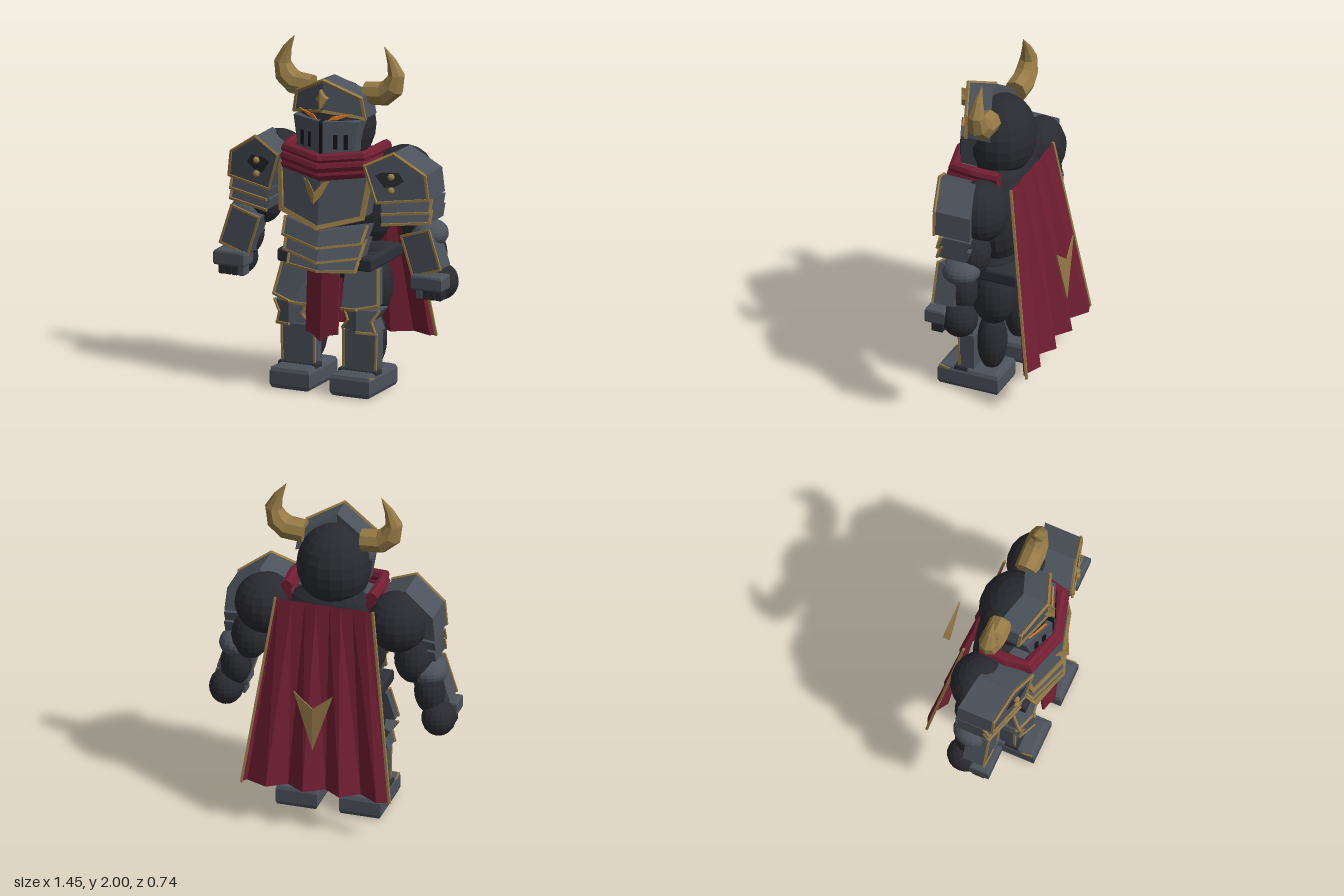
import * as THREE from 'three';

const mat = (name, color, side = THREE.FrontSide) => {
  const m = new THREE.MeshStandardMaterial({ color, side });
  m.name = name;
  return m;
};

export function createModel() {
  const steel = mat('steel', 0x4c525b), dark = mat('dark body', 0x2a2b31), leather = mat('belt leather', 0x2e3037);
  const gold = mat('antique gold', 0x967a46), cloth = mat('crimson cloth', 0x721f33, THREE.DoubleSide);
  const orange = mat('glowing orange', 0xe07a1c), black = mat('black slots', 0x14151a);
  const model = new THREE.Group();
  model.name = 'hornedKnight';

  // Faceted mesh from any geometry
  const add = (name, geo, material, pos = [0, 0, 0]) => {
    const g = geo.index ? geo.toNonIndexed() : geo;
    g.computeVertexNormals();
    const m = new THREE.Mesh(g, material);
    m.name = name;
    m.position.set(...pos);
    model.add(m);
    return m;
  };
  const blob = (name, pos, r, material = dark) =>
    add(name, new THREE.SphereGeometry(1, 18, 12).scale(...r), material, pos);
  const both = (fn) => [1, -1].forEach(fn);

  // Block with bevelled edges
  const block = (name, pos, [w, h, d], bevel, material) => {
    const s = new THREE.Shape(), x = w / 2 - bevel, z = d / 2 - bevel;
    s.moveTo(-x, -z).lineTo(x, -z).lineTo(x, z).lineTo(-x, z);
    const g = new THREE.ExtrudeGeometry(s, { depth: h - 2 * bevel, bevelSize: bevel, bevelThickness: bevel, bevelSegments: 2 });
    g.translate(0, 0, -h / 2 + bevel).rotateX(-Math.PI / 2);
    return add(name, g, material, pos);
  };

  // Square bar between two points
  const bar = (name, a, b, w, material = gold) => {
    const dir = b.clone().sub(a);
    const m = add(name, new THREE.BoxGeometry(w, w, dir.length() + w * 0.6), material, a.clone().add(b).multiplyScalar(0.5).toArray());
    m.quaternion.setFromUnitVectors(new THREE.Vector3(0, 0, 1), dir.normalize());
  };

  // Plate whose outline lies in x,y and whose front is bent by zf(|x|, y); listed edges get a trim
  const plate = (name, s, pts, zf, depth, material, trim = [], w = 0.014) => {
    const shape = new THREE.Shape(pts.map(([x, y]) => new THREE.Vector2(x * s, y)));
    const g = new THREE.ExtrudeGeometry(shape, { depth, bevelEnabled: false });
    const p = g.attributes.position;
    for (let i = 0; i < p.count; i++) p.setZ(i, p.getZ(i) - depth + zf(Math.abs(p.getX(i)), p.getY(i)));
    add(name, g, material);
    const at = (i) => {
      const [x, y] = pts[i % pts.length];
      return new THREE.Vector3(x * s, y, zf(x, y));
    };
    trim.forEach((i) => bar(name + 'Trim', at(i), at(i + 1), w));
  };

  // Tapered tube of rings along a path
  const loft = (name, path, radii, ref, sides, material) => {
    const pts = path.map((p) => new THREE.Vector3(...p)), up = new THREE.Vector3(...ref), pos = [], idx = [];
    pts.forEach((p, i) => {
      const t = pts[Math.min(i + 1, pts.length - 1)].clone().sub(pts[Math.max(i - 1, 0)]).normalize();
      const u = up.clone().cross(t).normalize(), v = t.clone().cross(u);
      for (let k = 0; k < sides; k++) {
        const a = (k / sides) * Math.PI * 2;
        pos.push(...p.clone().addScaledVector(u, Math.cos(a) * radii[i]).addScaledVector(v, Math.sin(a) * radii[i]).toArray());
        if (!i) continue;
        const c = i * sides + k, d = i * sides + (k + 1) % sides;
        idx.push(c - sides, d - sides, d, c - sides, d, c);
      }
    });
    for (let k = 1; k < sides - 1; k++) {
      const e = (pts.length - 1) * sides;
      idx.push(0, k + 1, k, e, e + k, e + k + 1);
    }
    const g = new THREE.BufferGeometry();
    g.setAttribute('position', new THREE.Float32BufferAttribute(pos, 3));
    g.setIndex(idx);
    add(name, g, material);
  };

  // Soft body under the armour
  blob('head', [0, 1.53, 0.04], [0.215, 0.245, 0.205]);
  blob('torso', [0, 1.1, -0.005], [0.33, 0.35, 0.162]);
  blob('hips', [0, 0.78, 0.01], [0.27, 0.16, 0.14]);
  block('belt', [0, 0.77, 0.025], [0.58, 0.08, 0.41], 0.015, leather);

  // Bent surface functions for the front armour
  const browZ = (x) => 0.24 - 0.38 * x;
  const maskZ = (x) => 0.28 - 0.4 * x;
  const chestZ = (x, y) => 0.31 - 0.22 * x - 0.16 * (y - 1.05);
  const shoulderZ = (x) => 0.25 - 0.27 * (x - 0.33);

  both((s) => {
    // Helmet: brow, face guard, breathing slots, eyes
    plate('helmetBrow', s, [[0, 1.64], [0, 1.82], [0.2, 1.72], [0.22, 1.6], [0.18, 1.61]], browZ, 0.15, steel, [1, 2, 3, 4], 0.016);
    plate('eyeShadow', s, [[0, 1.56], [0, 1.65], [0.19, 1.63], [0.19, 1.56]], (x) => 0.215 - 0.35 * x, 0.1, dark);
    plate('faceGuard', s, [[0.014, 1.37], [0.17, 1.395], [0.205, 1.59], [0.014, 1.59]], maskZ, 0.1, steel);
    plate('faceGuardSeam', s, [[0, 1.37], [0.016, 1.37], [0.016, 1.59], [0, 1.57]], (x) => 0.27, 0.07, black);
    [0.08, 0.135].forEach((x) =>
      plate('breathingSlot', s, [[x - 0.011, 1.43], [x + 0.011, 1.43], [x + 0.011, 1.515], [x - 0.011, 1.515]], (a) => maskZ(a) + 0.006, 0.009, black));
    plate('eye', s, [[0.035, 1.595], [0.09, 1.6], [0.17, 1.635], [0.1, 1.622], [0.06, 1.617]], (x) => 0.268 - 0.38 * x, 0.009, orange);
    plate('browJewel', s, [[0, 1.66], [0.016, 1.69], [0.034, 1.72], [0.014, 1.74], [0, 1.775]], (x) => 0.285 - 0.6 * x, 0.03, gold);
    loft('horn', [[0.17, 1.715, 0.03], [0.28, 1.725, 0.03], [0.335, 1.77, 0.03], [0.355, 1.84, 0.03], [0.325, 1.92, 0.03], [0.28, 2, 0.03]]
      .map(([x, y, z]) => [x * s, y, z]), [0.068, 0.07, 0.066, 0.05, 0.027, 0.001], [0, 0, 1], 8, gold);

    // Breastplate and belly lames
    plate('breastplate', s, [[0, 1.34], [0, 0.98], [0.25, 1.05], [0.285, 1.34]], chestZ, 0.13, steel, [1, 2], 0.026);
    plate('chestEmblem', s, [[0, 1.13], [0.04, 1.18], [0.08, 1.265], [0.045, 1.255], [0, 1.195]],
      (x, y) => 0.37 - 0.35 * x - 0.1 * (y - 1.13), 0.008, gold);
    [[0.99, 0.9, 0.255], [0.91, 0.815, 0.245], [0.83, 0.735, 0.22]].forEach(([t, b, w], i) =>
      plate('bellyLame', s, [[0, t - 0.04], [0, b - (i < 2 ? 0.035 : 0.008)], [w - 0.01, b], [w, t]],
        (x, y) => 0.315 - 0.25 * x - 0.6 * (y - b), 0.09, steel, [1, 2]));

    // Shoulder, upper arm, forearm
    blob('shoulder', [s * 0.39, 1.25, -0.01], [0.175, 0.18, 0.16]);
    blob('upperArm', [s * 0.48, 1.03, 0], [0.11, 0.15, 0.11]);
    blob('forearm', [s * 0.57, 0.83, 0.02], [0.09, 0.14, 0.09]);
    blob('elbowCap', [s * 0.565, 0.95, 0.03], [0.105, 0.08, 0.112], steel);
    plate('pauldron', s, [[0.27, 1.36], [0.43, 1.44], [0.605, 1.32], [0.62, 1.18], [0.335, 1.15]], shoulderZ, 0.22, steel, [0, 1, 2, 3, 4]);
    [[1.17, 1.1], [1.11, 1.04]].forEach(([t, b]) =>
      plate('shoulderLame', s, [[0.345, t - 0.03], [0.62, t], [0.62, b], [0.36, b - 0.02]], (x, y) => shoulderZ(x) - 0.02 - 0.4 * (y - b), 0.18, steel, [1, 2]));
    plate('pauldronInset', s, [[0.33, 1.31], [0.37, 1.33], [0.46, 1.33], [0.49, 1.28], [0.44, 1.25], [0.38, 1.24]], (x) => shoulderZ(x) + 0.004, 0.008, dark);
    [1.305, 1.225].forEach((y) => blob('stud', [s * 0.42, y, 0.233], [0.02, 0.02, 0.02], gold));

    const vambrace = new THREE.Group();
    vambrace.name = 'vambrace';
    vambrace.position.set(s * 0.565, 0.86, 0.085);
    vambrace.rotation.z = s * 0.31;
    const part = (name, size, pos, material) => {
      const m = new THREE.Mesh(new THREE.BoxGeometry(...size), material);
      m.name = name;
      m.position.set(...pos);
      vambrace.add(m);
    };
    part('vambracePlate', [0.18, 0.235, 0.13], [0, 0, 0], steel);
    [-1, 1].forEach((k) => {
      part('vambraceSideTrim', [0.012, 0.24, 0.012], [k * 0.09, 0, 0.065], gold);
      part('vambraceEndTrim', [0.19, 0.012, 0.012], [0, k * 0.117, 0.065], gold);
    });
    model.add(vambrace);

    // Fist and gauntlet
    blob('hand', [s * 0.625, 0.67, 0.01], [0.098, 0.105, 0.105]);
    block('gauntlet', [s * 0.615, 0.695, 0.13], [0.19, 0.09, 0.12], 0.015, steel);
    for (let i = 0; i < 4; i++) block('finger', [s * (0.555 + i * 0.04), 0.625, 0.12], [0.036, 0.065, 0.07], 0.008, i ? dark : steel);

    // Leg armour and boots
    blob('thigh', [s * 0.18, 0.6, 0], [0.13, 0.19, 0.13]);
    blob('calf', [s * 0.185, 0.29, 0.01], [0.095, 0.18, 0.085]);
    plate('thighPlate', s, [[0.09, 0.73], [0.295, 0.73], [0.325, 0.535], [0.2, 0.505], [0.105, 0.5]],
      (x, y) => 0.235 - 0.2 * Math.abs(x - 0.2) - 0.35 * (y - 0.52), 0.06, steel, [1, 2, 3]);
    const kneeZ = (x) => 0.25 - 0.5 * Math.abs(x - 0.21);
    const knee = [[[0.21, 0.38], [0.21, 0.51], [0.12, 0.49], [0.145, 0.44], [0.1, 0.385]],
      [[0.21, 0.51], [0.21, 0.38], [0.305, 0.37], [0.285, 0.44], [0.325, 0.5]]];
    plate('kneeGuardInner', s, knee[0], kneeZ, 0.13, steel, [1, 2, 3]);
    plate('kneeGuardOuter', s, knee[1], kneeZ, 0.13, steel, [1, 2, 3]);
    plate('shinPlate', s, [[0.09, 0.365], [0.295, 0.355], [0.29, 0.14], [0.09, 0.14]],
      (x) => 0.185 - 0.2 * Math.abs(x - 0.19), 0.09, steel, [1, 3], 0.012);
    block('boot', [s * 0.187, 0.07, 0.105], [0.245, 0.135, 0.37], 0.03, steel);
    block('ankleBand', [s * 0.187, 0.122, 0.15], [0.235, 0.05, 0.08], 0.008, leather);
    bar('bootTrim', new THREE.Vector3(s * 0.305, 0.115, 0.22), new THREE.Vector3(s * 0.305, 0.125, 0.275), 0.01);

    // Front tabard
    plate('tabard', s, [[0, 0.74], [0, 0.31], [0.055, 0.35], [0.1, 0.355], [0.1, 0.74]],
      (x, y) => 0.285 - 0.22 * x - 0.06 * (y - 0.31), 0.012, cloth);
  });

  // Scarf rolls
  for (let i = 0; i < 3; i++) {
    const y = 1.29 + i * 0.045, z = i === 1 ? 0.012 : 0;
    const half = [[0.25, y + 0.02, -0.06], [0.255, y + 0.025, 0.1], [0.24, y + 0.02, 0.22 + z]];
    loft('scarfRoll', [...half, [0, y - 0.01, 0.285 + z], ...half.map(([a, b, c]) => [-a, b, c]).reverse()],
      Array(7).fill(0.034), [0, 1, 0], 8, cloth);
  }

  // Pleated cape: x and z along the hem, gathered at the top
  const hem = [[-0.435, -0.31], [-0.365, -0.335], [-0.25, -0.26], [-0.145, -0.335], [-0.045, -0.265],
    [0.07, -0.335], [0.175, -0.265], [0.285, -0.335], [0.41, -0.285], [0.435, -0.315]];
  const low = hem.map(([x, z]) => new THREE.Vector3(x, 0.255, z));
  const top = hem.map(([x, z]) => new THREE.Vector3(x * 0.66, 1.36, -0.15 + 0.1 * (z + 0.3)));
  const quads = [];
  for (let i = 0; i < hem.length - 1; i++)
    [low[i], top[i], top[i + 1], low[i], top[i + 1], low[i + 1]].forEach((v) => quads.push(...v.toArray()));
  const cape = new THREE.BufferGeometry();
  cape.setAttribute('position', new THREE.Float32BufferAttribute(quads, 3));
  add('cape', cape, cloth);
  [0, hem.length - 1].forEach((i) => bar('capeTrim', top[i], low[i], 0.014));

  // Arrow emblem on the cape
  both((s) => plate('capeEmblem', s, [[0, 0.55], [0.115, 0.9], [0, 0.81]], (x) => -0.362 + 0.12 * x, 0.008, gold));

  return model;
}
